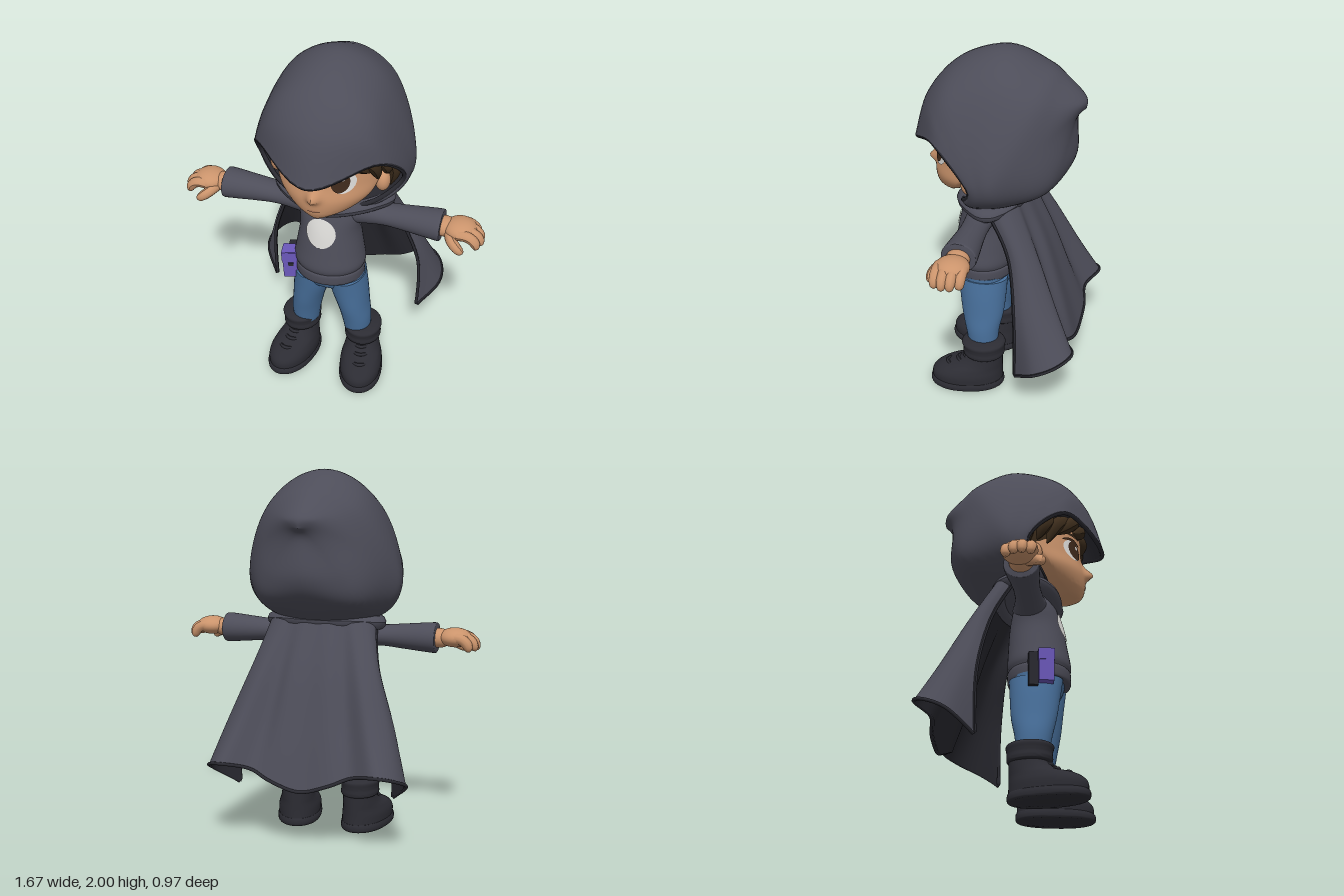
import * as THREE from 'three';
import { toCreasedNormals } from 'three/addons/utils/BufferGeometryUtils.js';

const colour = (name, hex) => {
  const m = new THREE.MeshStandardMaterial({ color: hex });
  m.name = name;
  return m;
};

// Smooth interpolation through a list of number arrays, t in 0..1
function spline(list, t, closed = false) {
  const n = list.length, s = t * (closed ? n : n - 1);
  const i = closed ? Math.floor(s) : Math.min(Math.floor(s), n - 2), f = s - i;
  const at = k => list[closed ? (k + n) % n : Math.max(0, Math.min(n - 1, k))];
  const [a, b, c, d] = [at(i - 1), at(i), at(i + 1), at(i + 2)];
  return b.map((q, k) => q + 0.5 * f * (c[k] - a[k] + f * (2 * a[k] - 5 * q + 4 * c[k] - d[k]
    + f * (3 * (q - c[k]) + d[k] - a[k]))));
}

// Surface from a function of (u, v); wrap joins the last column to the first
function surface(fn, nu, nv, wrap) {
  const pos = [], index = [], cols = wrap ? nv : nv + 1;
  for (let i = 0; i <= nu; i++) for (let j = 0; j < cols; j++) pos.push(...fn(i / nu, j / nv, i));
  for (let i = 0; i < nu; i++) for (let j = 0; j < nv; j++) {
    const k = (j + 1) % cols, a = i * cols + j, b = i * cols + k;
    index.push(a, a + cols, b, b, a + cols, b + cols);
  }
  const g = new THREE.BufferGeometry();
  g.setAttribute('position', new THREE.Float32BufferAttribute(pos, 3));
  g.setIndex(index);
  g.computeVertexNormals();
  return g;
}

// Closed body from rows of [height, half width, front z, back z, centre x]; bump pushes the front out
function loft(rows, steps = 24, seg = 32, power = 1, bump = () => 0) {
  const n = steps + 2;
  const g = surface((u, v, i) => {
    const [y, w, zf, zb, cx = 0] = spline(rows, Math.max(0, Math.min(1, (i - 1) / steps)));
    const r = i === 0 || i === n ? 0 : 1, a = v * Math.PI * 2, c = Math.cos(a), x = cx - r * w * Math.sin(a);
    const z = (zf + zb) / 2 + r * (zf - zb) / 2 * Math.sign(c) * Math.abs(c) ** power;
    return [x, y, z + (c > 0 ? bump(x, y) : 0)];
  }, n, seg, true);
  return toCreasedNormals(g, 0.9);
}

// Front depth of a lofted body at (x, y)
function frontZ(rows, power, x, y) {
  let lo = 0, hi = 1;
  for (let k = 0; k < 24; k++) {
    const m = (lo + hi) / 2;
    if (spline(rows, m)[0] < y) lo = m; else hi = m;
  }
  const [, w, zf, zb] = spline(rows, lo);
  return (zf + zb) / 2 + (zf - zb) / 2 * Math.max(0, 1 - (x / w) ** 2) ** (power / 2);
}

// Thin oval that follows the front of a lofted body
const patch = (rows, power, cx, cy, rx, ry, lift, bend = 0) => surface((u, v) => {
  const a = v * Math.PI * 2, x = cx + rx * u * Math.cos(a);
  const y = cy + ry * u * Math.sin(a) - bend * ((x - cx) / rx) ** 2;
  return [x, y, frontZ(rows, power, x, y) + lift];
}, 6, 28, true);

// Tube along points, with its radius scaled by a taper function
function strand(points, radius, taper = () => 1, closed = false, seg = 20) {
  const curve = new THREE.CatmullRomCurve3(points.map(p => new THREE.Vector3(...p)), closed);
  const g = new THREE.TubeGeometry(curve, seg, radius, 10, closed), p = g.attributes.position;
  const v = new THREE.Vector3();
  for (let i = 0; i < p.count; i++) {
    const t = Math.floor(i / 11) / seg, c = curve.getPointAt(t);
    v.fromBufferAttribute(p, i).sub(c).multiplyScalar(taper(t)).add(c);
    p.setXYZ(i, v.x, v.y, v.z);
  }
  g.computeVertexNormals();
  return g;
}
const roundTip = t => Math.sqrt(Math.max(0, 1 - t ** 6));
const leafTip = t => Math.max(0, Math.sin(Math.PI * (0.12 + 0.88 * t))) ** 0.8;

const HEAD = [[1.195, .03, .335, .27], [1.21, .09, .347, .2], [1.25, .175, .362, .1], [1.32, .25, .367, 0],
  [1.4, .28, .352, -.1], [1.48, .285, .345, -.14], [1.56, .27, .342, -.14], [1.64, .21, .29, -.1], [1.7, .08, .16, 0]];
const HEAD_POWER = 1.5;
const nose = (x, y) => .05 * Math.exp(-((x / .03) ** 2) - ((y - 1.34) / (y > 1.34 ? .05 : .024)) ** 2);
const PULLOVER = [[.75, .19, .268, -.058], [.79, .2, .277, -.066], [.87, .187, .265, -.063], [1, .168, .242, -.055],
  [1.1, .175, .215, -.04], [1.17, .15, .19, -.025], [1.23, .09, .15, 0]];

export function createModel() {
  const cloth = colour('charcoal cloth', 0x4d4d59), lining = colour('dark lining', 0x292930);
  const leather = colour('boot leather', 0x2c2c33), skin = colour('skin', 0xcb946c);
  const hair = colour('brown hair', 0x3d2d1c), white = colour('soft white', 0xdcdbd8);
  const iris = colour('brown iris', 0x3f2a1c), denim = colour('blue denim', 0x48709c);
  const purple = colour('purple', 0x6b58bb), lip = colour('lip', 0xb27a5c);
  cloth.side = lining.side = THREE.DoubleSide;

  const model = new THREE.Group();
  const add = (name, geometry, material, parent = model) => {
    const m = new THREE.Mesh(geometry, material);
    m.name = name;
    parent.add(m);
    return m;
  };
  const ball = (name, material, parent, pos, size) => {
    const m = add(name, new THREE.SphereGeometry(1, 28, 20), material, parent);
    m.position.set(...pos);
    m.scale.set(...size);
  };
  const box = (name, material, parent, pos, size) => {
    add(name, new THREE.BoxGeometry(...size), material, parent).position.set(...pos);
  };

  // Hood: rings from the back point to the rim, each given as top, three side points, bottom
  const rings = [
    Array(5).fill([0, 1.71, -.43]),
    [[0, 1.765, -.425], [.07, 1.75, -.41], [.09, 1.7, -.39], [.06, 1.66, -.385], [0, 1.65, -.385]],
    [[0, 1.86, -.32], [.17, 1.78, -.31], [.26, 1.6, -.28], [.2, 1.46, -.34], [0, 1.45, -.39]],
    [[0, 1.92, -.23], [.24, 1.82, -.2], [.36, 1.55, -.16], [.27, 1.33, -.26], [0, 1.32, -.31]],
    [[0, 2, -.01], [.26, 1.86, -.02], [.42, 1.45, -.04], [.3, 1.25, -.08], [0, 1.2, -.13]],
    [[0, 1.92, .23], [.27, 1.79, .2], [.42, 1.42, .04], [.3, 1.22, .06], [0, 1.17, .02]],
    [[0, 1.73, .4], [.28, 1.69, .29], [.415, 1.4, .08], [.27, 1.21, .13], [0, 1.165, .12]],
    [[0, 1.475, .48], [.31, 1.575, .3], [.405, 1.38, .09], [.25, 1.225, .16], [0, 1.17, .2]],
  ].map(h => [...h, ...[3, 2, 1].map(k => [-h[k][0], h[k][1], h[k][2]])]);
  const hoodPoint = (u, v) => spline(rings.map(r => spline(r, v, true)), u);
  add('hood', surface(hoodPoint, 56, 64, true), cloth);
  add('hoodLining', surface((u, v) => {
    const [x, y, z] = hoodPoint(u, v);
    return [x * .95, 1.5 + (y - 1.5) * .95, z * .95];
  }, 40, 56, true), lining);
  const rim = Array.from({ length: 40 }, (_, k) => hoodPoint(1, k / 40).map((q, a) => a === 1 ? 1.5 + (q - 1.5) * .975 : q * .975));
  add('hoodRim', strand(rim, .012, undefined, true, 100), lining);

  // Cape: half rows from front edge to centre back, mirrored, folds widening downward
  const capeRows = [
    [[.29, 1.17, 0], [.29, 1.2, -.04], [.25, 1.22, -.08], [.19, 1.22, -.11], [.14, 1.22, -.115], [.07, 1.22, -.13], [0, 1.22, -.13]],
    [[.335, .95, -.11], [.35, .97, -.15], [.335, .97, -.2], [.27, .95, -.25], [.18, .95, -.225], [.1, .95, -.255], [0, .95, -.25]],
    [[.435, .62, -.165], [.46, .66, -.23], [.44, .68, -.31], [.35, .68, -.375], [.23, .67, -.325], [.13, .66, -.355], [0, .65, -.35]],
    [[.44, .28, -.17], [.54, .38, -.29], [.52, .44, -.41], [.42, .47, -.48], [.28, .44, -.42], [.16, .39, -.44], [0, .345, -.44]],
  ].map(h => [...h, ...h.slice(0, -1).reverse().map(([x, y, z]) => [-x, y, z])]);
  const capePoint = (u, v) => spline(capeRows.map(r => spline(r, v)), u);
  const capeOuter = surface(capePoint, 32, 80, false), capeInner = capeOuter.clone();
  const ip = capeInner.attributes.position, nn = capeOuter.attributes.normal;
  for (let i = 0; i < ip.count; i++) {
    ip.setXYZ(i, ip.getX(i) - .012 * nn.getX(i), ip.getY(i) - .012 * nn.getY(i), ip.getZ(i) - .012 * nn.getZ(i));
  }
  add('cape', capeOuter, cloth);
  add('capeLining', capeInner, lining);
  const hem = [];
  for (let k = 0; k < 12; k++) hem.push(capePoint(k / 12, 0));
  for (let k = 0; k <= 40; k++) hem.push(capePoint(1, k / 40));
  for (let k = 11; k >= 0; k--) hem.push(capePoint(k / 12, 1));
  add('capeHem', strand(hem, .009, undefined, false, 160), lining);
  add('collarRoll', strand([[0, 1.15, .2], [.12, 1.175, .19], [.24, 1.19, .12], [.3, 1.185, .02], [.2, 1.2, -.08], [0, 1.2, -.11],
    [-.2, 1.2, -.08], [-.3, 1.185, .02], [-.24, 1.19, .12], [-.12, 1.175, .19]], .038, undefined, true, 70), cloth);

  // Head and face
  const head = new THREE.Group();
  head.name = 'head';
  model.add(head);
  const onFace = (...shape) => patch(HEAD, HEAD_POWER, ...shape);
  add('face', loft(HEAD, 48, 96, HEAD_POWER, nose), skin, head);
  ball('hairCap', hair, head, [0, 1.49, .03], [.315, .28, .27]);
  add('mouth', onFace(0, 1.262, .035, .006, .005), lip, head);
  for (const s of [1, -1]) {
    ball('ear', skin, head, [s * .287, 1.35, .11], [.04, .06, .045]);
    add('eyeWhite', onFace(s * .14, 1.432, .056, .06, .005), white, head);
    add('iris', onFace(s * .127, 1.435, .043, .056, .008), iris, head);
    add('eyeGlint', onFace(s * .127 + .014, 1.457, .009, .011, .01), white, head);
    add('upperLash', onFace(s * .14, 1.497, .06, .009, .009, .02), iris, head);
    add('eyebrow', onFace(s * .14, 1.53, .06, .008, .007, .008), hair, head);
    const locks = [
      [[.1, 1.61, .31], [.19, 1.57, .31], [.26, 1.47, .23]],
      [[.18, 1.6, .29], [.265, 1.52, .23], [.285, 1.4, .18]],
      [[.25, 1.58, .2], [.315, 1.5, .17], [.315, 1.41, .13]],
      [[.27, 1.52, .1], [.33, 1.42, .06], [.31, 1.28, .05]],
      [[.02, 1.62, .32], [.07, 1.58, .34], [.14, 1.54, .32]],
    ];
    for (const l of locks) add('hairLock', strand(l.map(([x, y, z]) => [s * x, y, z]), .04, leafTip), hair, head);
  }

  // Pullover with a plain pale chest patch and a waistband
  add('pullover', loft(PULLOVER, 30, 40), cloth);
  add('chestPatch', patch(PULLOVER, 1, -.012, 1.015, .085, .085, .006), white);
  add('waistband', loft([[.685, .186, .262, -.052], [.695, .194, .274, -.064], [.745, .196, .276, -.066], [.76, .188, .266, -.056]], 12, 40), cloth);
  add('hips', loft([[.585, .1, .16, .02], [.61, .16, .205, -.03], [.65, .19, .228, -.042], [.7, .195, .245, -.045]], 14, 32, .8), denim);

  // Belt pouch on the right hip
  const pouch = new THREE.Group();
  pouch.name = 'beltPouch';
  pouch.position.set(-.215, .71, .13);
  pouch.rotation.set(0, .2, .06);
  model.add(pouch);
  box('pouchBox', purple, pouch, [0, .005, .03], [.09, .175, .08]);
  box('pouchFlap', purple, pouch, [0, .06, .031], [.096, .06, .085]);
  box('pouchClasp', lining, pouch, [0, .01, .07], [.03, .02, .008]);
  box('pouchHolster', lining, pouch, [.014, -.01, -.035], [.065, .18, .05]);

  // Arms, hands, legs and boots, mirrored
  for (const s of [1, -1]) {
    const side = new THREE.Group();
    side.name = s > 0 ? 'leftLimbs' : 'rightLimbs';
    side.scale.x = s;
    model.add(side);

    const sleeve = add('sleeve', loft([[.08, .095, .17, -.03], [.18, .074, .155, -.005], [.3, .058, .147, .005], [.42, .067, .152, 0],
      [.54, .078, .165, -.012], [.6, .082, .17, -.015], [.608, .076, .163, -.008]], 28), cloth, side);
    sleeve.rotation.z = -Math.PI / 2;
    sleeve.position.y = 1.11;

    ball('wrist', skin, side, [.62, 1.11, .078], [.07, .052, .062]);
    ball('palm', skin, side, [.705, 1.117, .08], [.088, .052, .088]);
    [0, 1, 2, 3].forEach(k => {
      const z = .022 + k * .041, reach = [-.025, 0, .005, -.01][k];
      add('finger', strand([[.7, 1.12, z], [.765 + reach, 1.118, z], [.8 + reach, 1.095, z], [.82 + reach, 1.05, z]], .029, roundTip), skin, side);
    });
    add('thumb', strand([[.65, 1.1, .11], [.68, 1.085, .165], [.715, 1.06, .185], [.745, 1.035, .185]], .029, roundTip), skin, side);

    add('trouserLeg', loft([[.26, .075, .165, 0, .157], [.36, .084, .185, -.01, .15], [.46, .09, .207, -.03, .133],
      [.58, .103, .225, -.04, .11], [.68, .1, .24, -.045, .1]], 20), denim, side);

    const boot = new THREE.Group();
    boot.name = 'boot';
    boot.position.x = .172;
    boot.rotation.y = .2;
    side.add(boot);
    add('bootSole', loft([[0, .118, .37, -.035], [.01, .124, .38, -.043], [.035, .124, .38, -.043], [.045, .119, .372, -.038]], 8, 36, .85), leather, boot);
    add('bootUpper', loft([[.03, .119, .37, -.037], [.085, .12, .368, -.035], [.125, .108, .32, -.035], [.155, .096, .225, -.035],
      [.2, .088, .17, -.035], [.25, .088, .165, -.035]], 24, 36, .9), leather, boot);
    add('bootCuff', loft([[.2, .088, .165, -.03], [.212, .104, .19, -.045], [.25, .102, .19, -.045], [.285, .108, .198, -.05], [.3, .094, .18, -.038]], 16, 36), leather, boot);
    for (const [y, z, w] of [[.135, .275, .06], [.158, .215, .055], [.185, .178, .05]]) {
      add('bootLace', strand([[-w, y - .015, z - .03], [0, y + .004, z + .008], [w, y - .015, z - .03]], .01), leather, boot);
    }
  }
  return model;
}
